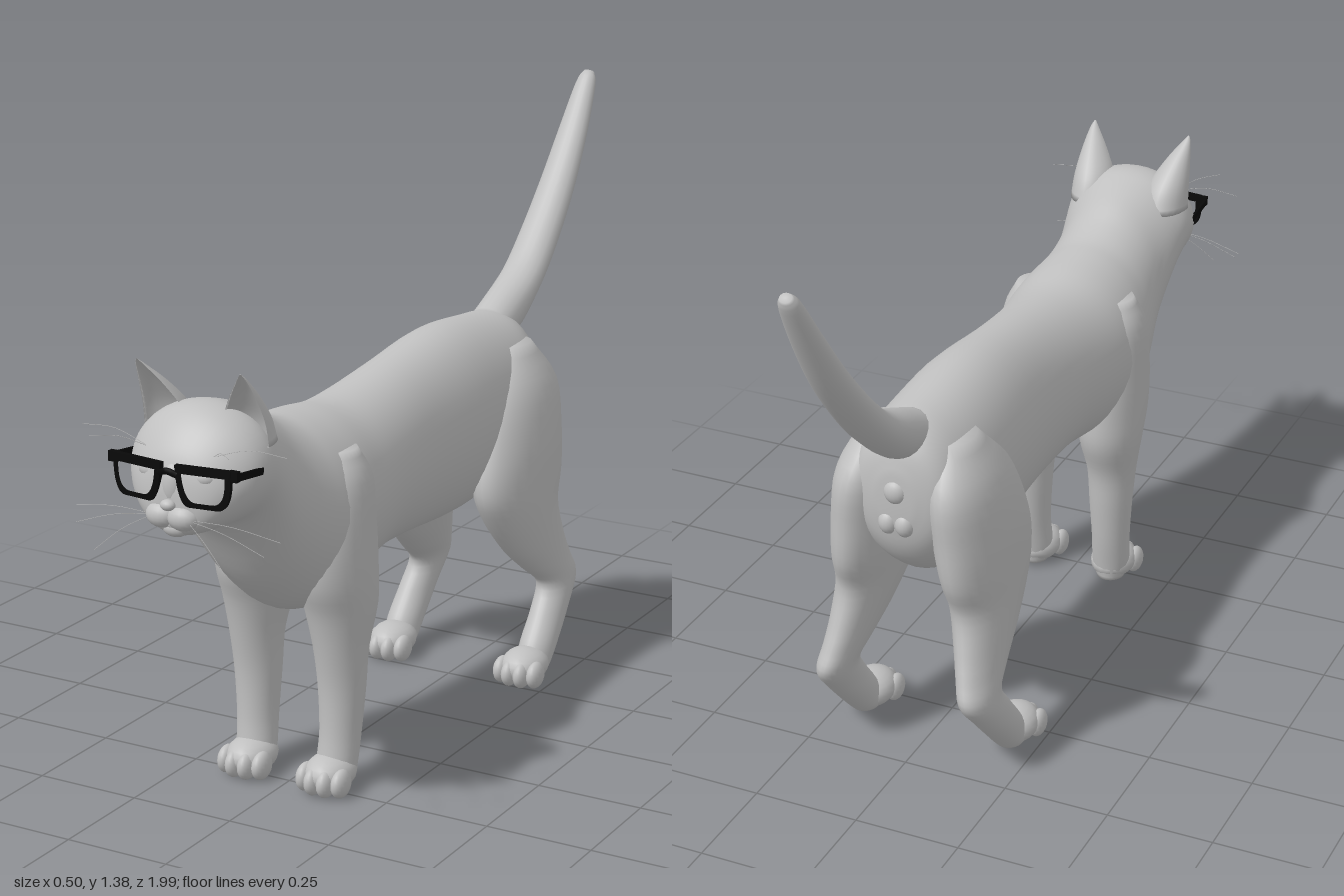
import * as THREE from 'three';

const fur = new THREE.MeshStandardMaterial({ color: 0xc0c0c0 });
fur.name = 'grey fur';
const black = new THREE.MeshStandardMaterial({ color: 0x080808 });
black.name = 'black frame';

const round = (t) => [Math.cos(t), Math.sin(t)];
// Hollow towards the front, for the ears
const crescent = (t) => [Math.cos(t), Math.sin(t) > 0 ? 0.45 * -Math.sin(t) : Math.sin(t)];

// Smooth skin through rings [x, y, z, half width, half depth, tilt];
// tilt 0 is an upright ring, PI / 2 a level one
function loft(name, rings, { sides = 28, steps = 4, outline = round } = {}) {
  const spline = (f) => new THREE.CatmullRomCurve3(rings.map(f), false, 'catmullrom', 0.5);
  const path = spline((r) => new THREE.Vector3(r[0], r[1], r[2]));
  const size = spline((r) => new THREE.Vector3(r[3], r[4], r[5]));
  const n = (rings.length - 1) * steps, pos = [], idx = [];
  for (let i = 0; i <= n; i++) {
    const c = path.getPoint(i / n), s = size.getPoint(i / n);
    for (let j = 0; j < sides; j++) {
      const [u, v] = outline((j / sides) * Math.PI * 2);
      pos.push(c.x + u * s.x, c.y + v * s.y * Math.cos(s.z), c.z + v * s.y * Math.sin(s.z));
    }
  }
  for (let i = 0; i < n; i++) {
    for (let j = 0; j < sides; j++) {
      const a = i * sides + j, b = i * sides + ((j + 1) % sides);
      idx.push(a, b, a + sides, b, b + sides, a + sides);
    }
  }
  // End caps
  for (const end of [0, n]) {
    const c = path.getPoint(end / n), k = pos.length / 3;
    pos.push(c.x, c.y, c.z);
    for (let j = 0; j < sides; j++) {
      const a = end * sides + j, b = end * sides + ((j + 1) % sides);
      if (end) idx.push(a, b, k); else idx.push(b, a, k);
    }
  }
  // Turn the faces outward if the rings ran the other way
  let volume = 0;
  const p = (i) => new THREE.Vector3().fromArray(pos, i * 3);
  for (let i = 0; i < idx.length; i += 3) volume += p(idx[i]).dot(p(idx[i + 1]).cross(p(idx[i + 2])));
  if (volume < 0) idx.reverse();
  const g = new THREE.BufferGeometry();
  g.setAttribute('position', new THREE.Float32BufferAttribute(pos, 3));
  g.setIndex(idx);
  g.computeVertexNormals();
  const m = new THREE.Mesh(g, fur);
  m.name = name;
  return m;
}

function ball(name, x, y, z, rx, ry, rz) {
  const m = new THREE.Mesh(new THREE.SphereGeometry(1, 18, 12), fur);
  m.name = name;
  m.position.set(x, y, z);
  m.scale.set(rx, ry, rz);
  return m;
}

function tube(name, points, radius, mat, sides = 6) {
  const curve = new THREE.CatmullRomCurve3(points.map((q) => new THREE.Vector3(...q)));
  const m = new THREE.Mesh(new THREE.TubeGeometry(curve, 8, radius, sides), mat);
  m.name = name;
  return m;
}

function paw(name, x, z) {
  const g = new THREE.Group();
  g.name = name;
  g.add(ball('pawPad', x, 0.043, z, 0.056, 0.043, 0.07));
  for (const [dx, dz] of [[-0.045, 0.032], [-0.016, 0.046], [0.016, 0.046], [0.045, 0.032]]) {
    g.add(ball('toe', x + dx, 0.033, z + dz, 0.019, 0.033, 0.034));
  }
  return g;
}

// One lens rim: a rounded trapezoid with a heavier top edge
function rimOutline(target, l, r, b, t) {
  target.moveTo(l, t);
  target.lineTo(r, t);
  target.quadraticCurveTo(r + 0.002, b, r - 0.03, b);
  target.lineTo(l + 0.032, b);
  target.quadraticCurveTo(l + 0.006, b, l, t);
  return target;
}

export function createModel() {
  const cat = new THREE.Group();
  cat.name = 'cat';
  const Q = Math.PI / 2;

  // Torso, neck and head: z, top, bottom, half width
  const profile = [
    [-0.535, 0.76, 0.64, 0.04], [-0.515, 0.83, 0.57, 0.1], [-0.47, 0.872, 0.51, 0.13],
    [-0.38, 0.885, 0.46, 0.148], [-0.18, 0.9, 0.438, 0.15], [0.03, 0.877, 0.45, 0.142],
    [0.2, 0.855, 0.458, 0.15], [0.32, 0.848, 0.442, 0.163], [0.42, 0.86, 0.425, 0.175],
    [0.5, 0.868, 0.415, 0.175], [0.56, 0.875, 0.435, 0.165], [0.62, 0.897, 0.48, 0.152],
    [0.68, 0.93, 0.54, 0.145], [0.75, 0.957, 0.645, 0.153], [0.8, 0.97, 0.7, 0.16],
    [0.85, 0.965, 0.708, 0.156], [0.89, 0.94, 0.708, 0.137], [0.925, 0.9, 0.71, 0.106],
    [0.945, 0.86, 0.72, 0.072], [0.956, 0.81, 0.74, 0.03],
  ];
  cat.add(loft('bodyAndHead', profile.map(([z, t, b, w]) => [0, (t + b) / 2, z, w, (t - b) / 2, 0]), { sides: 40 }));

  // Tail, raised to the back
  cat.add(loft('tail', [
    [0, 0.83, -0.44, 0.055, 0.05, 0.4], [0, 0.86, -0.52, 0.056, 0.056, 0.55],
    [0, 0.925, -0.625, 0.054, 0.043, 0.75], [0, 1.01, -0.715, 0.051, 0.039, 0.85],
    [0, 1.12, -0.81, 0.046, 0.035, 0.9], [0, 1.24, -0.895, 0.038, 0.028, 0.95],
    [0, 1.35, -0.965, 0.026, 0.021, 0.95], [0, 1.378, -0.984, 0.014, 0.012, 0.95],
  ], { sides: 20 }));
  cat.add(ball('rumpBump', 0, 0.72, -0.525, 0.028, 0.03, 0.022));
  for (const s of [1, -1]) cat.add(ball('lowerRumpBump', s * 0.02, 0.64, -0.52, 0.024, 0.03, 0.025));

  for (const s of [1, -1]) {
    const side = s > 0 ? 'left' : 'right';
    const leg = (part, rows) => cat.add(loft(side + part,
      rows.map(([y, x, z, rx, rz]) => [s * x, y, z, rx, rz, Q])));

    // Legs: y, x, z, half width, half depth
    leg('FrontLeg', [
      [0.79, 0.1, 0.46, 0.05, 0.05], [0.72, 0.103, 0.46, 0.078, 0.09], [0.6, 0.105, 0.465, 0.082, 0.11],
      [0.5, 0.106, 0.46, 0.081, 0.112], [0.42, 0.107, 0.447, 0.075, 0.097], [0.33, 0.109, 0.452, 0.06, 0.071],
      [0.235, 0.109, 0.45, 0.053, 0.058], [0.13, 0.108, 0.456, 0.047, 0.05], [0.05, 0.105, 0.468, 0.046, 0.046],
      [0.01, 0.105, 0.468, 0.034, 0.038],
    ]);
    leg('HindLeg', [
      [0.82, 0.09, -0.4, 0.04, 0.06], [0.72, 0.112, -0.39, 0.073, 0.145], [0.6, 0.125, -0.362, 0.082, 0.175],
      [0.5, 0.134, -0.347, 0.077, 0.182], [0.42, 0.142, -0.35, 0.069, 0.15], [0.33, 0.155, -0.395, 0.056, 0.124],
      [0.27, 0.166, -0.44, 0.047, 0.1], [0.215, 0.178, -0.478, 0.041, 0.076], [0.15, 0.184, -0.432, 0.041, 0.068],
      [0.08, 0.186, -0.372, 0.043, 0.062], [0.03, 0.186, -0.34, 0.04, 0.045], [0.01, 0.186, -0.33, 0.03, 0.035],
    ]);
    cat.add(paw(side + 'FrontPaw', s * 0.103, 0.492), paw(side + 'HindPaw', s * 0.184, -0.3));

    // Ear
    cat.add(loft(side + 'Ear', [
      [s * 0.097, 0.89, 0.812, 0.056, 0.085, Q], [s * 0.1, 0.945, 0.822, 0.05, 0.068, Q],
      [s * 0.112, 1.0, 0.845, 0.031, 0.04, Q], [s * 0.123, 1.04, 0.866, 0.012, 0.014, Q],
      [s * 0.126, 1.056, 0.875, 0.002, 0.002, Q],
    ], { sides: 24, outline: crescent }));

    // Face
    cat.add(ball(side + 'Eye', s * 0.064, 0.842, 0.918, 0.03, 0.022, 0.024));
    cat.add(ball(side + 'Muzzle', s * 0.026, 0.756, 0.943, 0.036, 0.028, 0.028));

    // Whiskers and brow hairs
    for (const [x, y, z] of [[0.25, 0.735, 0.93], [0.23, 0.71, 0.96], [0.16, 0.672, 0.998]]) {
      cat.add(tube('whisker', [[s * 0.04, 0.757, 0.955], [s * (x + 0.04) / 2, (y + 0.775) / 2, (z + 0.96) / 2], [s * x, y, z]], 0.0007, fur, 3));
    }
    for (const [x, y, z] of [[0.25, 0.905, 0.9], [0.17, 0.915, 0.99]]) {
      cat.add(tube('browHair', [[s * 0.08, 0.885, 0.91], [s * (x + 0.08) / 2, 0.91, (z + 0.91) / 2], [s * x, y, z]], 0.0007, fur, 3));
    }

    // Glasses: rim, hinge and temple
    const shape = rimOutline(new THREE.Shape(), 0.016, 0.142, 0.785, 0.872);
    shape.holes.push(rimOutline(new THREE.Path(), 0.031, 0.129, 0.796, 0.855));
    const rim = new THREE.Mesh(new THREE.ExtrudeGeometry(shape, { depth: 0.012, bevelEnabled: false, curveSegments: 10 }), black);
    rim.name = side + 'GlassesRim';
    const holder = new THREE.Group();
    holder.name = side + 'Rim';
    holder.add(rim);
    holder.position.z = 0.95;
    holder.rotation.y = s > 0 ? 0.12 : Math.PI - 0.12;
    if (s < 0) rim.position.z = -0.012;
    cat.add(holder);
    const hinge = new THREE.Mesh(new THREE.BoxGeometry(0.022, 0.022, 0.014), black);
    hinge.name = side + 'Hinge';
    hinge.position.set(s * 0.146, 0.861, 0.936);
    const temple = new THREE.Mesh(new THREE.BoxGeometry(0.006, 0.015, 0.1), black);
    temple.name = side + 'Temple';
    temple.position.set(s * 0.154, 0.854, 0.89);
    temple.rotation.x = -0.12;
    cat.add(hinge, temple);
  }

  // Nose, chin and the bridge of the glasses
  cat.add(ball('nose', 0, 0.784, 0.96, 0.017, 0.012, 0.014));
  cat.add(ball('noseBridge', 0, 0.82, 0.935, 0.026, 0.05, 0.024));
  cat.add(ball('chin', 0, 0.728, 0.932, 0.03, 0.02, 0.022));
  cat.add(tube('glassesBridge', [[-0.022, 0.85, 0.957], [0, 0.857, 0.961], [0.022, 0.85, 0.957]], 0.007, black));

  return cat;
}
